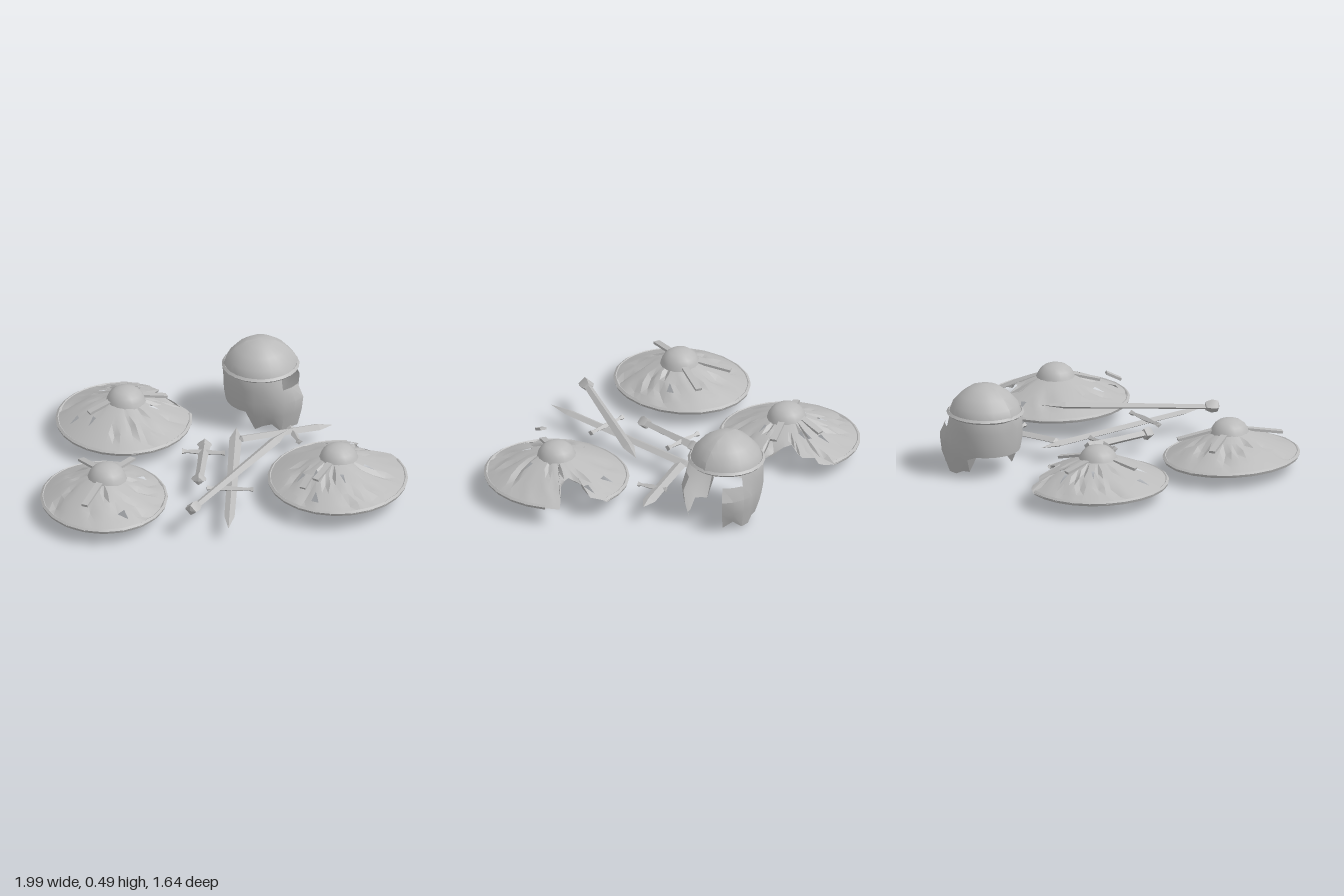
import * as THREE from 'three';
import { toCreasedNormals } from 'three/addons/utils/BufferGeometryUtils.js';

const steel = new THREE.MeshStandardMaterial({ color: 0xbababa, side: THREE.DoubleSide });
steel.name = 'grey steel';

const V = (x, y, z) => new THREE.Vector3(x, y, z);

function seeded(seed) {
  return () => {
    seed = (seed * 16807) % 2147483647;
    return seed / 2147483647;
  };
}

function add(group, name, geometry, crease = 0.6) {
  const mesh = new THREE.Mesh(toCreasedNormals(geometry, crease), steel);
  mesh.name = name;
  group.add(mesh);
  return mesh;
}

// Closed grid of rows; skip(row, column, half) leaves a hole
function gridShell(rows, skip) {
  const n = rows[0].length, index = [];
  for (let j = 0; j < rows.length - 1; j++) {
    for (let i = 0; i < n; i++) {
      const k = (i + 1) % n, a = j * n + i, b = j * n + k, c = a + n, d = b + n;
      if (!skip(j, i, 0)) index.push(a, b, c);
      if (!skip(j, i, 1)) index.push(b, d, c);
    }
  }
  const geometry = new THREE.BufferGeometry().setFromPoints(rows.flat());
  geometry.setIndex(index);
  geometry.computeVertexNormals();
  return geometry;
}

// Place a mesh modelled along y (0..1) between two points, thin side up
function span(mesh, p, q) {
  const dir = q.clone().sub(p), y = dir.clone().normalize();
  const x = V(0, 1, 0).cross(y).normalize(), z = x.clone().cross(y);
  mesh.quaternion.setFromRotationMatrix(new THREE.Matrix4().makeBasis(x, y, z));
  mesh.position.copy(p);
  mesh.scale.y = dir.length();
}

// Diamond section bar; stations are [position 0..1, half width]
function bar(group, name, p, q, stations, flat) {
  const points = stations.map(([t, w]) => new THREE.Vector2(w, t));
  const geometry = new THREE.LatheGeometry(points, 4);
  geometry.scale(1, 1, flat);
  span(add(group, name, geometry, 0.1), p, q);
}

function makeShield({ name, c, rx, rz, y, boss, notch, straps, seed }) {
  const g = new THREE.Group();
  g.name = name;
  const rand = seeded(seed);
  const broken = notch.map(([x, z]) => [x - c[0], z - c[1]]);

  // Unbroken arc, followed by the torn edge
  let start = 0, end = Math.PI * 2;
  if (broken.length) {
    const t = ([x, z]) => Math.atan2(z / rz, x / rx);
    start = t(broken[broken.length - 1]);
    end = t(broken[0]) + Math.PI * 2;
  }
  const arc = [], steps = 20;
  for (let i = 0; i <= steps; i++) {
    const t = start + (end - start) * i / steps;
    arc.push([rx * Math.cos(t), rz * Math.sin(t)]);
  }
  const corners = arc.slice(0, -1).concat(broken.length ? broken.slice(0, -1) : []);
  const outline = corners.flatMap((p, i) => {
    const q = corners[(i + 1) % corners.length];
    return [p, [(p[0] + q[0]) / 2, (p[1] + q[1]) / 2]];
  });

  // Dented dome, with small punctures
  const rings = [0.24, 0.4, 0.55, 0.7, 0.85, 1.02];
  const rows = rings.map((ring, j) => outline.map(([x, z]) => {
    const limit = Math.hypot(x / rx, z / rz), s = Math.min(ring, limit);
    const dent = j > 0 && j < 5 && rand() < 0.22 ? 0.022 * rand() : 0;
    return V(c[0] + x * s / limit, y + 0.16 * (1 - Math.pow(s, 1.3)) - dent, c[1] + z * s / limit);
  }));
  add(g, 'shieldDome', gridShell(rows, (j) => j > 0 && j < 4 && rand() < 0.025), 0.5);

  // Rim
  const path = new THREE.CatmullRomCurve3(arc.map(([x, z]) => V(c[0] + x * 0.97, y, c[1] + z * 0.97)), false, 'catmullrom', 0.1);
  add(g, 'shieldRim', new THREE.TubeGeometry(path, 60, 0.013, 5), 0.9);

  // Hollow central boss
  const bossProfile = [[0.11, 0.12], [0.1, 0.145], [0.085, 0.17], [0.06, 0.19], [0.03, 0.2], [0, 0.203]];
  const dome = new THREE.LatheGeometry(bossProfile.map(([r, h]) => new THREE.Vector2(r, h)), 16);
  add(g, 'shieldBoss', dome, 0.9).position.set(boss[0], y, boss[1]);

  // Loose metal straps radiating from the boss
  for (const [x0, z0, x1, z1] of straps) {
    const strap = new THREE.BoxGeometry(0.036, 1, 0.014);
    strap.translate(0, 0.5, 0);
    span(add(g, 'shieldStrap', strap), V(x0, y + 0.1, z0), V(x1, y + 0.14, z1));
  }
  return g;
}

function makeHelmet() {
  const g = new THREE.Group();
  g.name = 'helmet';
  const rand = seeded(77), n = 24;
  const profile = [[0.5, 0], [0.485, 0.075], [0.445, 0.135], [0.395, 0.18], [0.34, 0.2],
    [0.275, 0.202], [0.2, 0.2], [0.12, 0.19], [0.03, 0.165]];
  const jag = Array.from({ length: n }, () => 0.06 * rand());

  // Skull and cheeks, flared forward; the nape is cut higher
  const rows = profile.map(([y, r], j) => Array.from({ length: n }, (_, i) => {
    const t = i / n * Math.PI * 2, face = Math.max(0, Math.cos(t));
    const low = Math.cos(t) < -0.3 ? 0.14 : 0.01 + jag[i];
    const flare = 0.065 * face * Math.min(1, Math.max(0, (0.32 - y) / 0.12));
    const ridge = j > 0 && j < 5 && i % 12 === 0 ? 0.008 : 0;
    const radius = r + flare + ridge;
    return V(radius * Math.cos(t), Math.max(j === 8 ? y - 0.02 : y, low), radius * Math.sin(t));
  }));

  // Open face and eye slots
  const skip = (j, i) => {
    const angle = Math.abs(((i + 0.5) / n * 360 + 180) % 360 - 180);
    return (j >= 4 && angle < 25) || (j === 4 && angle < 55);
  };
  add(g, 'helmetShell', gridShell(rows, skip), 0.5);

  // Brow band
  const band = new THREE.TorusGeometry(0.199, 0.012, 4, 24);
  band.rotateX(Math.PI / 2);
  const brow = add(g, 'browBand', band, 0.6);
  brow.position.y = 0.345;
  g.position.set(0.19, 0, -0.61);
  g.rotation.y = 0.08;
  return g;
}

function makeWeapon(name, parts) {
  const g = new THREE.Group();
  g.name = name;
  for (const [part, p, q, stations, flat] of parts) bar(g, part, V(...p), V(...q), stations, flat);
  return g;
}

export function createModel() {
  const model = new THREE.Group();
  model.name = 'battlefieldDebris';

  model.add(makeShield({
    name: 'backShield', c: [-0.55, -0.43], rx: 0.37, rz: 0.395, y: 0.1, boss: [-0.54, -0.42], seed: 11,
    notch: [[-0.47, -0.82], [-0.42, -0.79], [-0.4, -0.765], [-0.41, -0.73], [-0.36, -0.685],
      [-0.36, -0.65], [-0.38, -0.59], [-0.34, -0.565], [-0.21, -0.51], [-0.185, -0.48]],
    straps: [[-0.55, -0.65, -0.56, -0.5], [-0.32, -0.51, -0.47, -0.45], [-0.74, -0.32, -0.61, -0.39]],
  }));
  model.add(makeShield({
    name: 'frontShield', c: [-0.655, 0.42], rx: 0.345, rz: 0.39, y: 0.095, boss: [-0.64, 0.42], seed: 205,
    notch: [],
    straps: [[-0.78, 0.18, -0.68, 0.36], [-0.5, 0.17, -0.59, 0.35], [-0.76, 0.69, -0.67, 0.49]],
  }));
  model.add(makeShield({
    name: 'leftShield', c: [0.61, 0.24], rx: 0.38, rz: 0.405, y: 0.115, boss: [0.615, 0.235], seed: 3019,
    notch: [[0.66, -0.165], [0.725, -0.096], [0.7, -0.016], [0.725, 0.06], [0.78, 0.065],
      [0.81, 0.04], [0.86, 0], [0.9, -0.027], [0.94, 0.04]],
    straps: [[0.49, 0.44, 0.58, 0.3], [0.42, 0.53, 0.46, 0.46]],
  }));
  model.add(makeHelmet());

  const guard = [[0, 0], [0.01, 0.02], [0.12, 0.011], [0.5, 0.02], [0.88, 0.011], [0.99, 0.02], [1, 0]];
  const pommel = [[0, 0], [0.1, 0.035], [0.5, 0.042], [0.9, 0.028], [1, 0]];

  // Long blade lying on the ground
  model.add(makeWeapon('longSword', [
    ['blade', [0.06, 0.105, -0.33], [0.02, 0.105, 0.78],
      [[0, 0], [0.11, 0.034], [0.5, 0.03], [0.88, 0.028], [1, 0]], 0.5],
    ['crossguard', [-0.1, 0.125, 0.37], [0.155, 0.125, 0.385], guard, 0.8],
  ]));
  // Sword resting across it
  model.add(makeWeapon('crossedSword', [
    ['blade', [-0.16, 0.18, 0.67], [0.345, 0.225, -0.1],
      [[0, 0], [0.01, 0.022], [0.38, 0.026], [0.85, 0.032], [1, 0]], 0.6],
    ['pommel', [-0.19, 0.18, 0.72], [-0.145, 0.185, 0.65], pommel, 0.9],
  ]));
  // Broken sword near the helmet
  model.add(makeWeapon('brokenSword', [
    ['blade', [0.07, 0.11, -0.19], [0.58, 0.11, -0.35],
      [[0, 0], [0.04, 0.034], [0.5, 0.032], [0.85, 0.036], [1, 0]], 0.5],
    ['crossguard', [0.35, 0.11, -0.32], [0.4, 0.11, -0.16], guard, 0.8],
  ]));
  // Snapped hilt
  model.add(makeWeapon('snappedHilt', [
    ['grip', [-0.11, 0.115, -0.12], [-0.14, 0.115, 0.25], [[0, 0], [0.01, 0.032], [0.5, 0.025], [1, 0.024]], 0.8],
    ['bladeStub', [-0.11, 0.115, -0.145], [-0.115, 0.115, -0.09], pommel, 0.8],
    ['crossguard', [-0.235, 0.115, -0.05], [0, 0.115, -0.03], guard, 0.9],
    ['pommel', [-0.14, 0.115, 0.225], [-0.145, 0.115, 0.285], pommel, 0.9],
  ]));
  return model;
}
